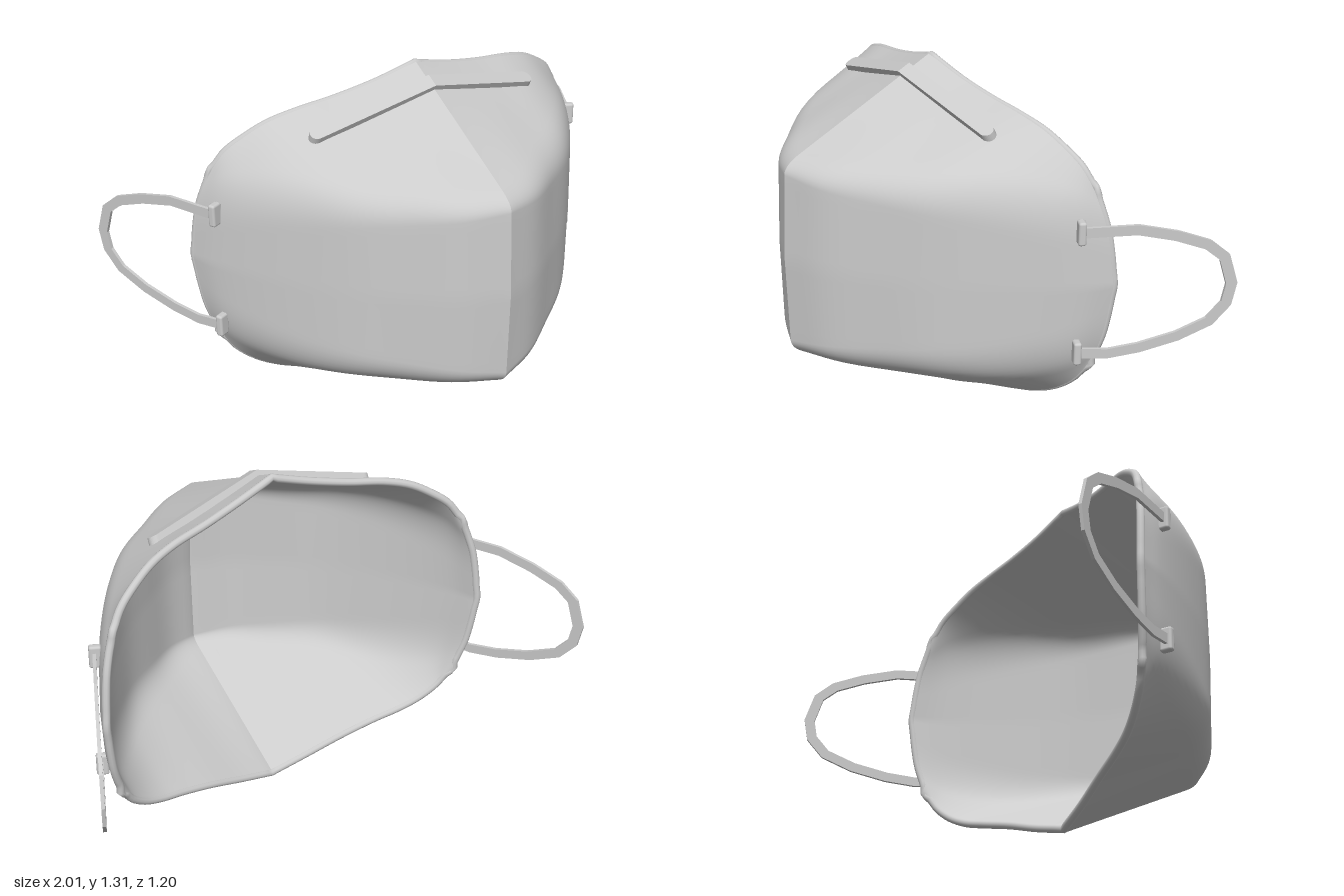
import * as THREE from 'three';
import { RoundedBoxGeometry } from 'three/addons/geometries/RoundedBoxGeometry.js';

const V = (x, y, z) => new THREE.Vector3(x, y, z);
const grey = new THREE.MeshStandardMaterial({ color: 0xcccccc, side: THREE.DoubleSide });
const guide = (pts) => new THREE.CatmullRomCurve3(pts.map((p) => V(...p)));

// Guide lines of the left half, each running from the centre crease to the side
const topRim = guide([[0, 1.315, -0.01], [0.15, 1.27, -0.03], [0.3, 1.235, -0.055], [0.44, 1.21, -0.08],
  [0.54, 1.18, -0.105], [0.62, 1.135, -0.13], [0.69, 1.08, -0.155], [0.735, 1.01, -0.175]]);
const upperFold = guide([[0, 1.02, 0.59], [0.15, 1.02, 0.53], [0.3, 1.02, 0.42], [0.45, 1.02, 0.3],
  [0.57, 1.01, 0.16], [0.67, 0.98, 0.02], [0.74, 0.94, -0.1], [0.785, 0.88, -0.205]]);
const middle = guide([[0, 0.67, 0.603], [0.15, 0.67, 0.54], [0.3, 0.67, 0.43], [0.45, 0.67, 0.305],
  [0.58, 0.67, 0.155], [0.69, 0.67, 0], [0.765, 0.67, -0.13], [0.803, 0.67, -0.222]]);
const lowerFold = guide([[0, 0.31, 0.59], [0.15, 0.315, 0.53], [0.3, 0.32, 0.42], [0.45, 0.33, 0.3],
  [0.57, 0.34, 0.16], [0.67, 0.37, 0.02], [0.74, 0.41, -0.1], [0.78, 0.46, -0.205]]);
const bottomRim = guide([[0, 0.012, -0.01], [0.15, 0.055, -0.03], [0.3, 0.105, -0.055], [0.44, 0.145, -0.08],
  [0.54, 0.175, -0.105], [0.62, 0.215, -0.13], [0.69, 0.275, -0.155], [0.735, 0.345, -0.175]]);

// Vertical section through the shell, with folds that soften toward the side
function section(u) {
  const [t, a, m, b, e] = [topRim, upperFold, middle, lowerFold, bottomRim].map((c) => c.getPoint(u));
  const r = 0.1 + 0.4 * u;
  const a0 = a.clone().lerp(t, r), a1 = a.clone().lerp(m, r);
  const b0 = b.clone().lerp(m, r), b1 = b.clone().lerp(e, r);
  const parts = [
    new THREE.LineCurve3(t, a0), new THREE.QuadraticBezierCurve3(a0, a, a1), new THREE.LineCurve3(a1, m),
    new THREE.LineCurve3(m, b0), new THREE.QuadraticBezierCurve3(b0, b, b1), new THREE.LineCurve3(b1, e),
  ];
  return [t, ...parts.flatMap((c) => c.getPoints(8).slice(1))];
}

function gridGeometry(points, rows, flip) {
  const index = [];
  for (let i = 0; i < points.length / rows - 1; i++) {
    for (let j = 0; j < rows - 1; j++) {
      const a = i * rows + j, b = a + 1, c = a + rows, d = c + 1;
      index.push(...(flip ? [a, c, b, b, c, d] : [a, b, c, b, d, c]));
    }
  }
  const g = new THREE.BufferGeometry().setFromPoints(points);
  g.setIndex(index);
  g.computeVertexNormals();
  return g;
}

function add(parent, name, geometry) {
  const mesh = new THREE.Mesh(geometry, grey);
  mesh.name = name;
  parent.add(mesh);
  return mesh;
}

// Flat half of the nose strip, laid on the sloping upper panel
function noseStripGeometry() {
  const w = 0.026, end = 0.43;
  const s = new THREE.Shape();
  s.moveTo(0, -w);
  s.lineTo(end, -w);
  s.absarc(end, 0, w, -Math.PI / 2, Math.PI / 2);
  s.lineTo(0, w);
  const g = new THREE.ExtrudeGeometry(s, { depth: 0.045, bevelEnabled: false, curveSegments: 8 });
  const p = g.attributes.position;
  for (let i = 0; i < p.count; i++) {
    const x = p.getX(i), d = p.getY(i), h = p.getZ(i) - 0.028;
    p.setXYZ(i, x, 1.267 - 0.25 * x - 0.447 * d + 0.894 * h, 0.095 - 0.11 * x + 0.894 * d + 0.447 * h);
  }
  g.computeVertexNormals();
  return g;
}

// Flat elastic band, drawn in side view and slanted outward
function earLoopGeometry() {
  const path = [[0.1, 0.88], [0.28, 0.88], [0.4, 0.85], [0.5, 0.81], [0.555, 0.76], [0.583, 0.66],
    [0.57, 0.585], [0.52, 0.52], [0.42, 0.47], [0.3, 0.435], [0.2, 0.42], [0.1, 0.43]].map((p) => new THREE.Vector2(...p));
  const side = (k) => path.map((p, i) => {
    const t = path[Math.min(i + 1, path.length - 1)].clone().sub(path[Math.max(i - 1, 0)]).normalize();
    return new THREE.Vector2(p.x - t.y * k, p.y + t.x * k);
  });
  const shape = new THREE.Shape([...side(0.018), ...side(-0.018).reverse()]);
  const g = new THREE.ExtrudeGeometry(shape, { depth: 0.012, bevelEnabled: false });
  g.applyMatrix4(new THREE.Matrix4().makeBasis(V(0.48, 0, -1), V(0, 1, 0), V(0.9, 0, 0.43)));
  g.translate(0.704, 0, 0);
  return g;
}

export function createModel() {
  const model = new THREE.Group();
  model.name = 'faceMask';

  // Outer and inner skins of one half
  const N = 36, thickness = 0.026;
  const outerPts = [];
  for (let i = 0; i <= N; i++) outerPts.push(...section(i / N));
  const rows = outerPts.length / (N + 1);
  const outer = gridGeometry(outerPts, rows, false);
  const normal = outer.attributes.normal;
  const innerPts = outerPts.map((p, i) => {
    const q = p.clone().addScaledVector(V(0, 0, 0).fromBufferAttribute(normal, i), -thickness);
    if (i < rows) q.x = 0;
    return q;
  });
  const inner = gridGeometry(innerPts, rows, true);
  const strip = noseStripGeometry(), loop = earLoopGeometry();

  for (const [side, sign] of [['left', 1], ['right', -1]]) {
    const half = new THREE.Group();
    half.name = side + 'Half';
    half.scale.x = sign;
    add(half, side + 'OuterShell', outer);
    add(half, side + 'InnerShell', inner);
    add(half, side + 'NoseStrip', strip);
    add(half, side + 'EarLoop', loop);
    // Tabs holding the ends of the ear loop
    for (const [where, y] of [['Upper', 0.88], ['Lower', 0.43]]) {
      const tab = add(half, side + where + 'Tab', new RoundedBoxGeometry(0.045, 0.085, 0.028, 2, 0.009));
      tab.position.set(0.757, y, -0.105);
      tab.rotation.y = -0.45;
    }
    model.add(half);
  }

  // Rounded lip around the opening
  const mid = (i, j) => outerPts[i * rows + j].clone().lerp(innerPts[i * rows + j], 0.5);
  const rim = [];
  for (let i = 0; i <= N; i++) rim.push(mid(i, 0));
  for (let j = 4; j < rows - 4; j += 4) rim.push(mid(N, j));
  for (let i = N; i >= 0; i--) rim.push(mid(i, rows - 1));
  const mirrored = rim.slice(1, -1).reverse().map((p) => V(-p.x, p.y, p.z));
  const rimCurve = new THREE.CatmullRomCurve3([...rim, ...mirrored], true);
  add(model, 'rim', new THREE.TubeGeometry(rimCurve, 200, 0.0145, 10, true));
  return model;
}
